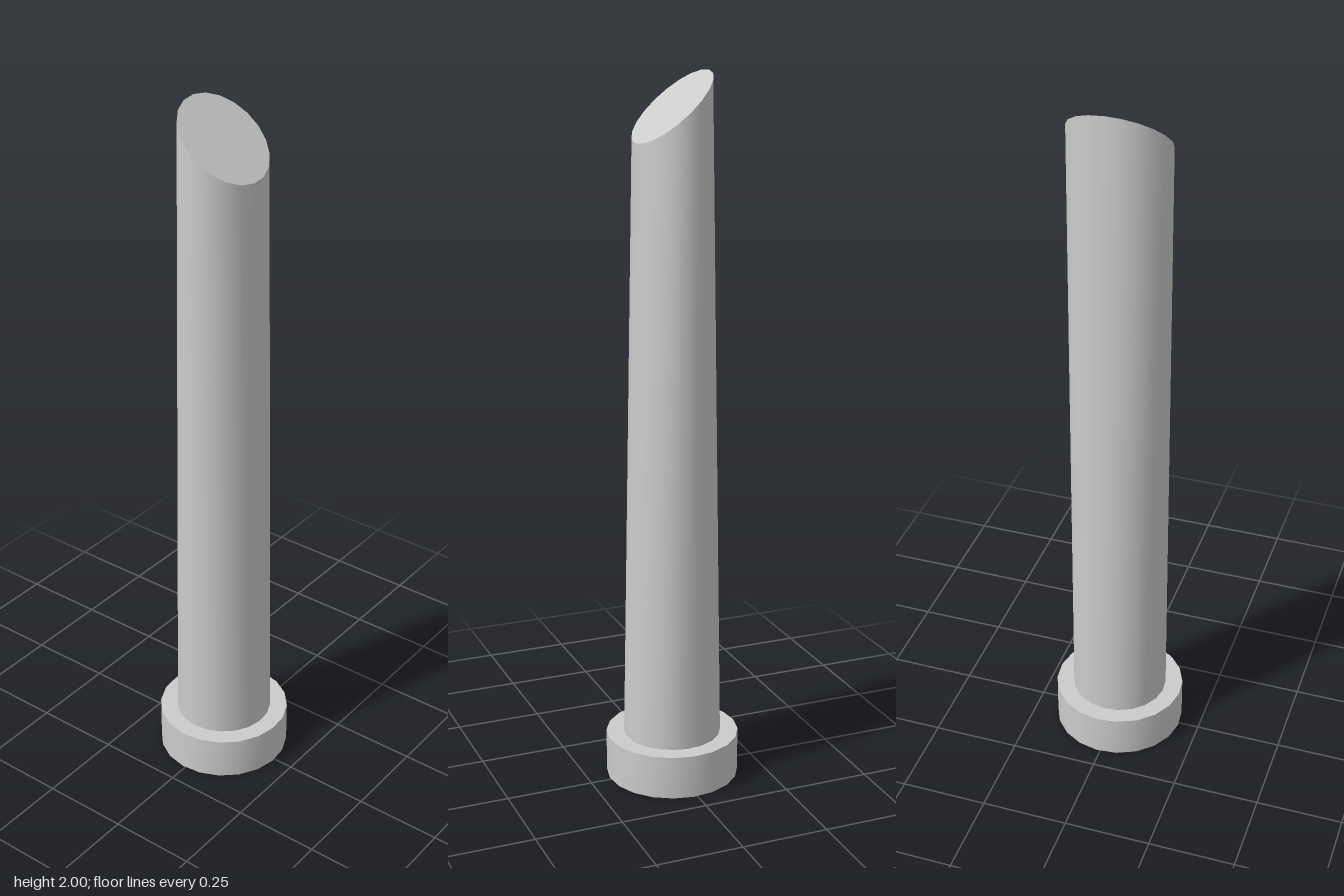
import * as THREE from 'three';
import { toCreasedNormals } from 'three/addons/utils/BufferGeometryUtils.js';

const SIDES = 20;
const TURN = THREE.MathUtils.degToRad(-3);
const BASE_HEIGHT = 0.125;

// Upright cylinder standing on y = bottom
function drum(radius, bottom, top) {
  const g = new THREE.CylinderGeometry(radius, radius, top - bottom, SIDES, 1, false, TURN);
  return g.translate(0, (top + bottom) / 2, 0);
}

export function createModel() {
  const model = new THREE.Group();
  const material = new THREE.MeshStandardMaterial({ color: 0xcccccc });

  const add = (name, geometry) => {
    const mesh = new THREE.Mesh(toCreasedNormals(geometry, 0.6), material);
    mesh.name = name;
    model.add(mesh);
  };

  // Round foot collar
  add('base', drum(0.19, 0, BASE_HEIGHT));

  // Post: the top ring is squeezed front to back and cut on a slope rising to the back
  const post = drum(0.139, BASE_HEIGHT, 2);
  const p = post.attributes.position;
  for (let i = 0; i < p.count; i++) {
    if (p.getY(i) < 1) continue;
    const z = p.getZ(i) * 0.735;
    p.setZ(i, z);
    p.setY(i, 1.908 - z * 0.905);
  }
  add('post', post);

  return model;
}
